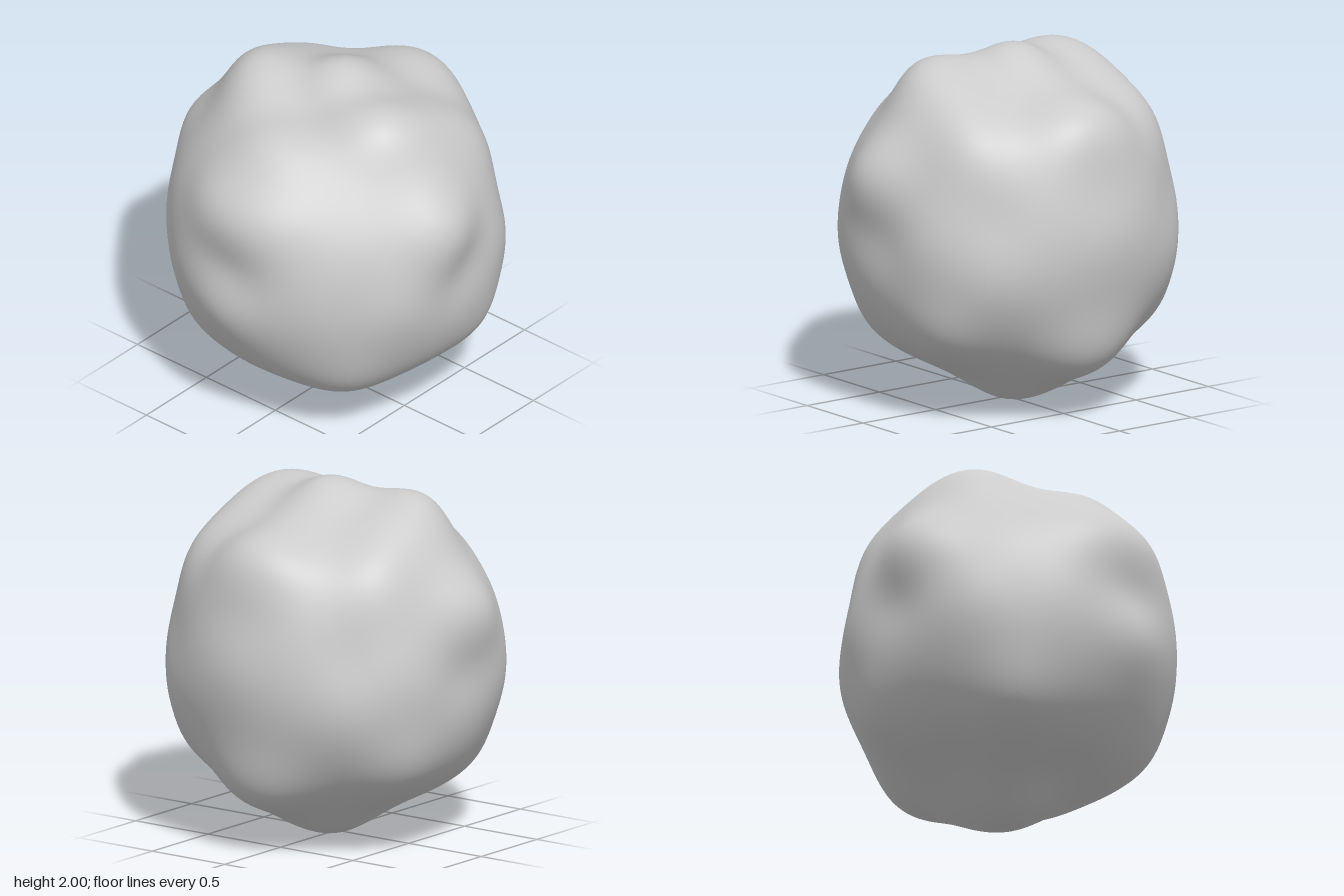
import * as THREE from 'three';

// Surface points on the lumps and hollows, relative to the centre; x is mirrored
const guides = [
  // crown: centre ridge, two side lumps, grooves between
  [0, 1, -0.02], [0, 0.95, -0.21], [0, 0.84, -0.41], [0, 0.85, 0.29],
  [0.22, 0.94, 0.02], [0.42, 0.94, 0.15], [0.61, 0.85, 0.02], [0.55, 0.79, -0.26],
  [0.27, 0.79, -0.38],
  // upper back
  [0.13, 0.69, -0.76], [0.63, 0.61, -0.46], [0.24, 0.43, -0.83],
  // sides
  [0.77, 0.63, 0], [0.95, 0.36, 0.09], [0.9, 0.05, -0.03],
  [0.76, -0.54, 0.05], [0.85, -0.06, 0.4], [0.86, 0, -0.37],
  // front
  [0, 0.8, 0.56], [0.2, 0.48, 0.86], [0, 0.36, 0.93], [0, 0.13, 0.9],
  [0, -0.12, 0.94], [0, -0.37, 0.86], [0.52, 0.57, 0.51],
  [0.42, 0.33, 0.78], [0.67, 0.03, 0.63], [0.45, 0, 0.81],
  // back
  [0, 0.08, -0.94], [0.58, 0.17, -0.67], [0.63, -0.2, -0.67],
  // underside
  [0, -1, 0], [0.42, -0.79, 0], [0, -0.8, 0.34], [0, -0.7, 0.57],
  [0.54, -0.61, 0.53], [0, -0.92, -0.32], [0.28, -0.75, -0.48],
  [0.12, -0.67, -0.75], [0.75, -0.52, -0.36],
].map((p) => {
  const dir = new THREE.Vector3(...p);
  const radius = dir.length();
  return { dir: dir.normalize(), radius, amount: 0 };
});

const baseRadius = 0.925;
const bell = (cos) => Math.exp((cos - 1) / 0.035);

// Distance to the surface along a direction: base sphere plus mirrored swellings
function radiusAt(d) {
  let r = baseRadius;
  for (const { dir, amount } of guides) {
    const side = dir.x * d.x;
    const rest = dir.y * d.y + dir.z * d.z;
    r += amount * (bell(rest + side) + (dir.x > 0 ? bell(rest - side) : 0));
  }
  return r;
}

export function createModel() {
  // Adjust the swellings until the surface passes through the guide points
  for (const g of guides) g.amount = 0;
  for (let pass = 0; pass < 30; pass++) {
    for (const g of guides) g.amount += 0.7 * (g.radius - radiusAt(g.dir));
  }

  // Six-sided sphere pushed in and out
  const geo = new THREE.BoxGeometry(2, 2, 2, 56, 56, 56);
  const pos = geo.attributes.position;
  const v = new THREE.Vector3();
  for (let i = 0; i < pos.count; i++) {
    v.fromBufferAttribute(pos, i).normalize();
    v.multiplyScalar(radiusAt(v));
    pos.setXYZ(i, v.x, v.y + 1, v.z);
  }
  geo.computeVertexNormals();

  const rock = new THREE.Mesh(geo, new THREE.MeshStandardMaterial({ color: 0xcccccc }));
  rock.name = 'rock';
  const group = new THREE.Group();
  group.name = 'boulder';
  group.add(rock);
  return group;
}
